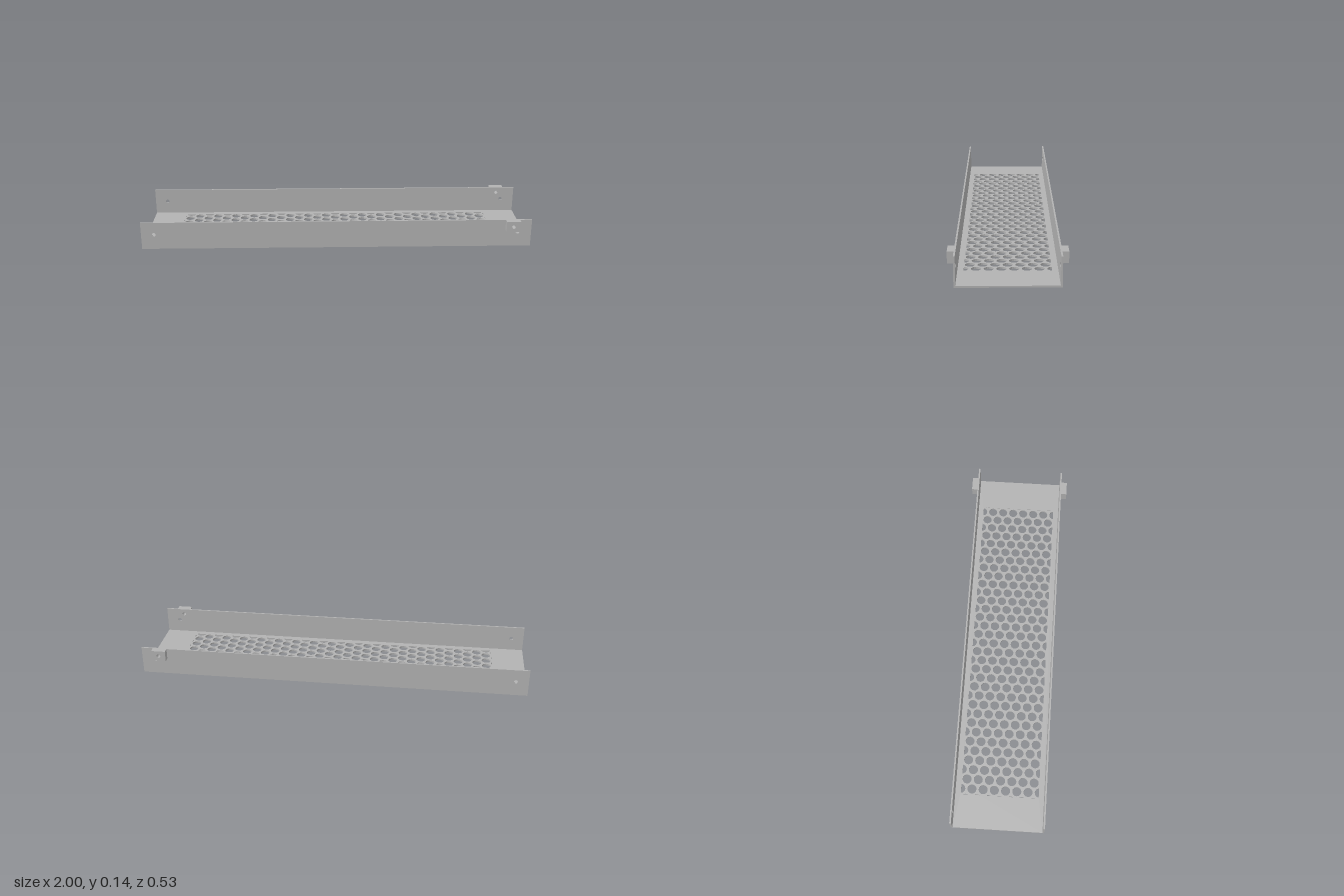
import * as THREE from 'three';

const HALF_W = 0.236, WALL = 0.008, FLOOR = 0.009, HEIGHT = 0.1445;
const TAB = { x0: 0.866, x1: 0.939, y0: 0.089, depth: 0.03 };

// Round hole; with a cut distance only the arc facing `dir` beyond the straight cut remains
function hole(x, y, r, dir = 0, cut = null, n = 16) {
  const a = cut === null ? Math.PI : Math.acos(cut / r);
  const pts = [];
  const count = cut === null ? n : n / 2;
  for (let i = 0; i < (cut === null ? n : count + 1); i++) {
    const t = dir + a - (2 * a * i) / count;
    pts.push(new THREE.Vector2(x + r * Math.cos(t), y + r * Math.sin(t)));
  }
  return new THREE.Path(pts);
}

function plate(x0, y0, x1, y1, depth, holes) {
  const shape = new THREE.Shape([[x0, y0], [x1, y0], [x1, y1], [x0, y1]].map(p => new THREE.Vector2(...p)));
  shape.holes.push(...holes);
  return new THREE.ExtrudeGeometry(shape, { depth, bevelEnabled: false });
}

// Staggered perforation, clipped to a rectangle
function perforation() {
  const r = 0.0235, px = 0.05, pz = 0.0577, limX = 0.83, limZ = 0.2;
  const holes = [];
  for (let c = -17; c <= 17; c++) {
    const x = c * px;
    const full = c % 2 !== 0;
    const rows = full ? [-3, -2, -1, 0, 1, 2, 3] : [-3.5, -2.5, -1.5, -0.5, 0.5, 1.5, 2.5, 3.5];
    for (const row of rows) {
      const z = row * pz;
      if (Math.abs(x) > limX) {
        holes.push(hole(x, z, r, x > 0 ? Math.PI : 0, Math.abs(x) - limX));
      } else if (Math.abs(z) + r > limZ) {
        holes.push(hole(x, z, r, z > 0 ? -Math.PI / 2 : Math.PI / 2, Math.abs(z) - limZ));
      } else holes.push(hole(x, z, r));
    }
  }
  return holes;
}

export function createModel() {
  const steel = new THREE.MeshStandardMaterial({ color: 0xb2b2b2 });
  steel.name = 'grey steel';
  const group = new THREE.Group();
  group.name = 'cableTray';
  const add = (name, geo, z = 0) => {
    const mesh = new THREE.Mesh(geo, steel);
    mesh.name = name;
    mesh.position.z = z;
    group.add(mesh);
  };

  // Perforated floor between the walls
  const inner = HALF_W - WALL;
  const floor = plate(-1, -inner, 1, inner, FLOOR, perforation());
  floor.rotateX(-Math.PI / 2);
  add('perforatedFloor', floor);

  // Side walls with screw holes, and mounting tabs near the left end
  const tabX = (TAB.x0 + TAB.x1) / 2, tabY = (TAB.y0 + HEIGHT) / 2;
  for (const front of [true, false]) {
    const side = front ? 'front' : 'back';
    const wall = plate(-1, 0, 1, HEIGHT, WALL, [
      hole(-0.935, 0.078, 0.01), hole(0.93, 0.078, 0.01), hole(tabX, tabY, 0.01),
    ]);
    add(side + 'Wall', wall, front ? inner : -HALF_W);
    const tab = plate(TAB.x0, TAB.y0, TAB.x1, HEIGHT, TAB.depth, [hole(tabX, tabY, 0.01)]);
    add(side + 'MountingTab', tab, front ? HALF_W : -HALF_W - TAB.depth);
  }
  return group;
}
